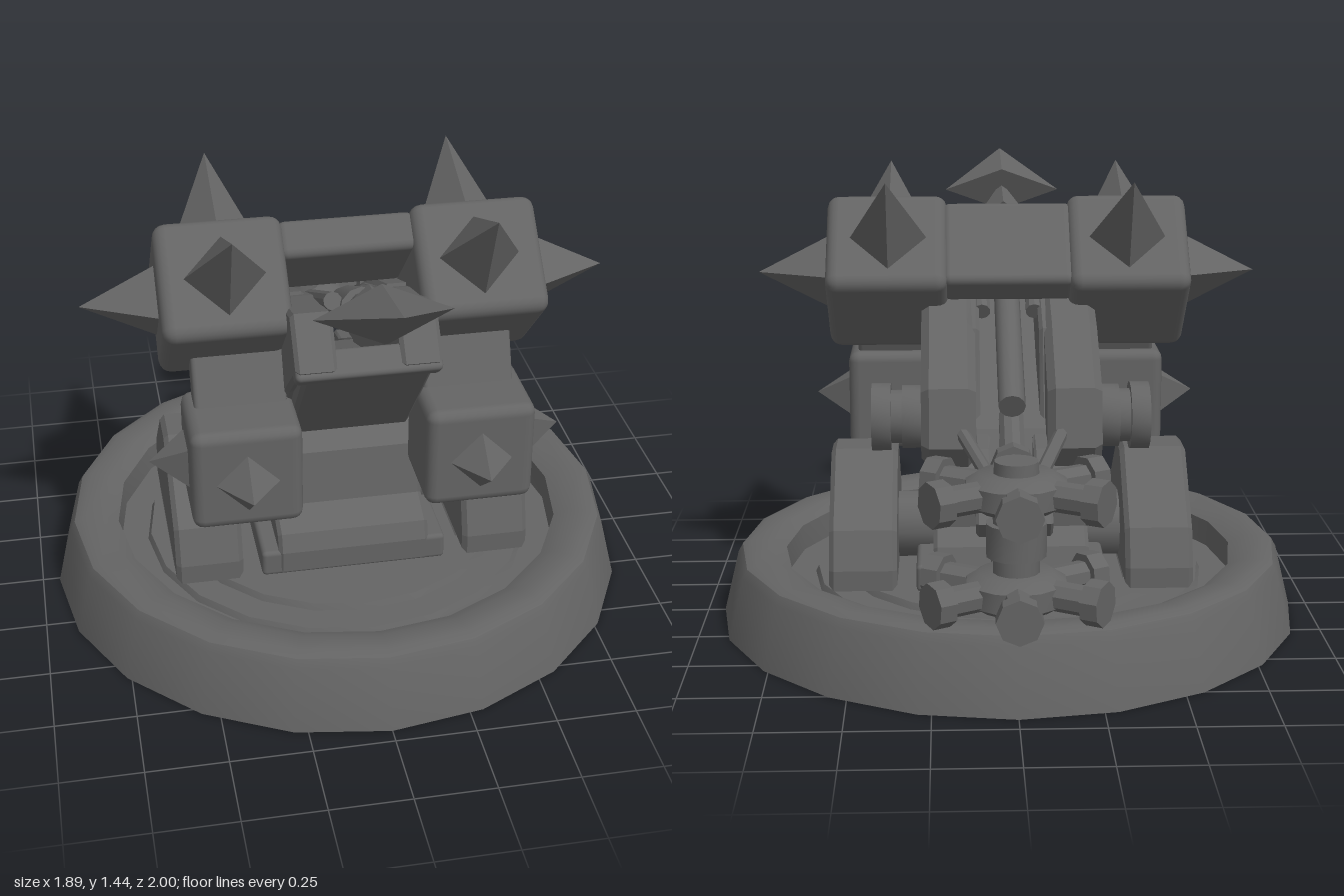
import * as THREE from 'three';
import { RoundedBoxGeometry } from 'three/addons/geometries/RoundedBoxGeometry.js';
import { toCreasedNormals } from 'three/addons/utils/BufferGeometryUtils.js';

const material = new THREE.MeshStandardMaterial({ color: 0x646464 });
const thin = new THREE.MeshStandardMaterial({ color: 0x646464, side: THREE.DoubleSide });
const Y = new THREE.Vector3(0, 1, 0);

function add(parent, name, geometry, x = 0, y = 0, z = 0, rx = 0) {
  const mesh = new THREE.Mesh(geometry, material);
  mesh.name = name;
  mesh.position.set(x, y, z);
  mesh.rotation.x = rx;
  parent.add(mesh);
  return mesh;
}

const creased = (g, angle = 0.6) => toCreasedNormals(g, angle);
const cyl = (r1, r2, h, n = 14) => creased(new THREE.CylinderGeometry(r1, r2, h, n));
const cylX = (r, w, n = 16) => cyl(r, r, w, n).rotateZ(Math.PI / 2);
const block = (w, h, d, r = 0.015) => new RoundedBoxGeometry(w, h, d, 2, r);

// Side profile of [z, y] points, extruded across x and centred on it
function slab(points, width, bevel = 0.012, hole = null) {
  const toVec = p => new THREE.Vector2(p[0], p[1]);
  const shape = new THREE.Shape(points.map(toVec));
  if (hole) shape.holes.push(new THREE.Path(hole.map(toVec)));
  const depth = width - 2 * bevel;
  const g = new THREE.ExtrudeGeometry(shape, {
    depth, bevelEnabled: true, bevelThickness: bevel, bevelSize: bevel,
    bevelOffset: -bevel, bevelSegments: 1, curveSegments: 1,
  });
  return g.translate(0, 0, -depth / 2).rotateY(-Math.PI / 2);
}

// Round bar between two points
function rod(parent, name, a, b, r, n = 10) {
  const from = new THREE.Vector3(...a), to = new THREE.Vector3(...b);
  const d = to.clone().sub(from);
  const mesh = add(parent, name, cyl(r, r, d.length(), n));
  mesh.position.copy(from).addScaledVector(d, 0.5);
  mesh.quaternion.setFromUnitVectors(Y, d.normalize());
}

// Four-sided spike standing on a face
function spike(parent, r, h, base, dir, twist = 0) {
  const g = creased(new THREE.ConeGeometry(r, h, 4).translate(0, h / 2, 0).rotateY(twist), 0.2);
  const mesh = add(parent, 'spike', g, ...base);
  mesh.quaternion.setFromUnitVectors(Y, new THREE.Vector3(...dir));
}

const bothSides = fn => [-1, 1].forEach(fn);

function makeBase(root) {
  // Round dish with a thin, gently stepped floor, hollow underneath
  const profile = [[0.945, 0], [0.895, 0.2], [0.88, 0.228], [0.85, 0.24], [0.78, 0.236], [0.735, 0.215],
    [0.73, 0.13], [0.64, 0.13], [0.63, 0.15], [0.54, 0.15], [0.53, 0.17], [0, 0.17]];
  const g = new THREE.LatheGeometry(profile.map(p => new THREE.Vector2(...p)), 20);
  add(root, 'base', creased(g, 0.5), 0, 0, 0.01).material = thin;
}

function makeMount(root) {
  const pedestal = [[0.345, 0.18], [0.345, 0.25], [0.325, 0.31], [0.225, 0.355], [0.2, 0.53],
    [0.02, 0.61], [-0.25, 0.51], [-0.235, 0.355], [-0.305, 0.31], [-0.325, 0.25], [-0.325, 0.18]];
  add(root, 'pedestal', slab(pedestal, 0.49));
  add(root, 'pedestalPlate', block(0.6, 0.09, 0.66), 0, 0.21, 0.01);
  add(root, 'axle', cylX(0.11, 0.8, 12), 0, 0.295, 0);

  // Arched legs on either side, each holding a round hub
  const arch = [[0.345, 0.175], [0.345, 0.24], [0.31, 0.36], [0.07, 0.568], [-0.06, 0.568],
    [-0.28, 0.36], [-0.325, 0.24], [-0.325, 0.175]];
  const opening = [[0.23, 0.19], [0.23, 0.31], [0.06, 0.49], [-0.05, 0.49], [-0.21, 0.31], [-0.21, 0.19]];
  bothSides(s => {
    add(root, 'leg', slab(arch, 0.215, 0.015, opening), s * 0.468);
    add(root, 'legHub', cylX(0.137, 0.15, 12), s * 0.455, 0.315, 0.005);
  });
}

function makeHull(root) {
  const belly = [[0.56, 1.015], [0.5, 1.06], [0.1, 0.82], [-0.25, 0.68], [-0.3, 0.6], [0.235, 0.635]];
  add(root, 'belly', slab(belly, 0.39));
  add(root, 'frontLip', block(0.44, 0.09, 0.07), 0, 1.03, 0.52, -0.7);
  const rail = [[0.57, 1.04], [0.46, 1.18], [0.2, 1.1], [-0.1, 0.97], [-0.2, 0.7], [0.2, 0.66], [0.36, 0.86]];
  const cheek = [[0.15, 1.09], [-0.1, 0.99], [-0.34, 0.83], [-0.38, 0.65], [-0.33, 0.58], [0.22, 0.645], [0.27, 0.75]];
  bothSides(s => {
    add(root, 'rail', slab(rail, 0.125), s * 0.157);
    add(root, 'cheek', slab(cheek, 0.17, 0.025), s * 0.195);
    add(root, 'pivotCollar', cylX(0.1, 0.07), s * 0.305, 0.71, -0.2);
    add(root, 'pivotPin', cylX(0.085, 0.16), s * 0.33, 0.71, -0.2);
    add(root, 'pivotCap', cylX(0.107, 0.06), s * 0.405, 0.71, -0.2);
    rod(root, 'guideTube', [s * 0.085, 1.19, 0.42], [s * 0.085, 1.0, 0.03], 0.028);
  });
}

function makeSpear(root) {
  // Local +z runs up and forward, with the tip at the origin
  const spear = new THREE.Group();
  spear.name = 'spear';
  spear.position.set(0, 1.43, 0.995);
  spear.rotation.x = -0.45;
  root.add(spear);
  const head = (r, h, flat) =>
    creased(new THREE.ConeGeometry(r, h, 4).rotateX(Math.PI / 2).scale(1, flat, 1), 0.2);
  add(spear, 'spearHead', head(0.2, 0.28, 0.42), 0, 0, -0.14);
  add(spear, 'spearBarb', head(0.1, 0.25, 0.8), 0, 0, -0.355);
  const along = (name, r, from, to) => rod(spear, name, [0, 0, -from], [0, 0, -to], r, 12);
  along('shaft', 0.042, 0.45, 1.5);
  along('collar', 0.058, 0.48, 0.55);
  along('sleeve', 0.07, 0.6, 0.85);
}

function makeHammers(root) {
  // Spiked blocks turned 45 degrees, with a bridge between them
  const hammers = new THREE.Group();
  hammers.name = 'upperBlocks';
  hammers.position.set(0, 1.11, 0.17);
  hammers.rotation.x = Math.PI / 4;
  root.add(hammers);
  add(hammers, 'bridge', block(0.42, 0.32, 0.12, 0.025), 0, 0, -0.11);
  bothSides(s => {
    add(hammers, 'upperBlock', block(0.39, 0.372, 0.372, 0.04), s * 0.39);
    spike(hammers, 0.125, 0.285, [s * 0.385, 0.18, 0], [0, 1, 0]);
    spike(hammers, 0.125, 0.285, [s * 0.385, 0, -0.18], [0, 0, -1]);
    spike(hammers, 0.12, 0.235, [s * 0.58, 0, 0], [s, 0, 0], Math.PI / 4);
  });

  // Lower spiked blocks hanging from struts
  bothSides(s => {
    add(root, 'strut', block(0.285, 0.32, 0.09), s * 0.355, 0.88, 0.28, -0.4);
    add(root, 'lowerBlock', block(0.34, 0.335, 0.3, 0.035), s * 0.36, 0.658, 0.37);
    spike(root, 0.1, 0.125, [s * 0.36, 0.65, 0.515], [0, 0, 1]);
    spike(root, 0.095, 0.12, [s * 0.525, 0.66, 0.36], [s, 0, 0], Math.PI / 4);
  });
}

function makeValves(root) {
  // Two hubs on one column, each with six capped arms
  const valves = new THREE.Group();
  valves.name = 'valveCluster';
  valves.position.z = -0.71;
  root.add(valves);
  add(valves, 'column', cyl(0.07, 0.07, 0.4), 0, 0.46, 0);
  add(valves, 'columnRing', cyl(0.09, 0.09, 0.1), 0, 0.47, 0);
  add(valves, 'topCap', cyl(0.065, 0.07, 0.07), 0, 0.67, 0);
  for (const y of [0.315, 0.615]) {
    const hub = new THREE.Group();
    hub.name = 'hub';
    hub.position.y = y;
    valves.add(hub);
    add(hub, 'hubRing', cyl(0.15, 0.15, 0.06));
    add(hub, 'hubTop', cyl(0.11, 0.15, 0.025), 0, 0.0425);
    add(hub, 'hubBottom', cyl(0.15, 0.11, 0.025), 0, -0.0425);
    for (let i = 0; i < 6; i++) {
      const a = i * Math.PI / 3;
      const at = r => [r * Math.sin(a), 0, r * Math.cos(a)];
      rod(hub, 'arm', at(0.1), at(0.25), 0.045, 8);
      rod(hub, 'armCap', at(0.235), at(0.29), 0.068, 8);
    }
  }

  // Pipes and braces joining the cluster to the hull
  rod(root, 'feedPipe', [0, 0.72, -0.25], [0, 0.47, -0.68], 0.04);
  bothSides(s => {
    rod(root, 'sidePipe', [s * 0.16, 0.7, -0.33], [s * 0.06, 0.6, -0.62], 0.022, 8);
    const brace = [[-0.28, 0.67], [-0.38, 0.65], [-0.61, 0.48], [-0.57, 0.43], [-0.33, 0.55]];
    add(root, 'brace', slab(brace, 0.05, 0.008), s * 0.09);
  });
}

export function createModel() {
  const root = new THREE.Group();
  root.name = 'spikedTurret';
  [makeBase, makeMount, makeHull, makeSpear, makeHammers, makeValves].forEach(make => make(root));
  return root;
}
